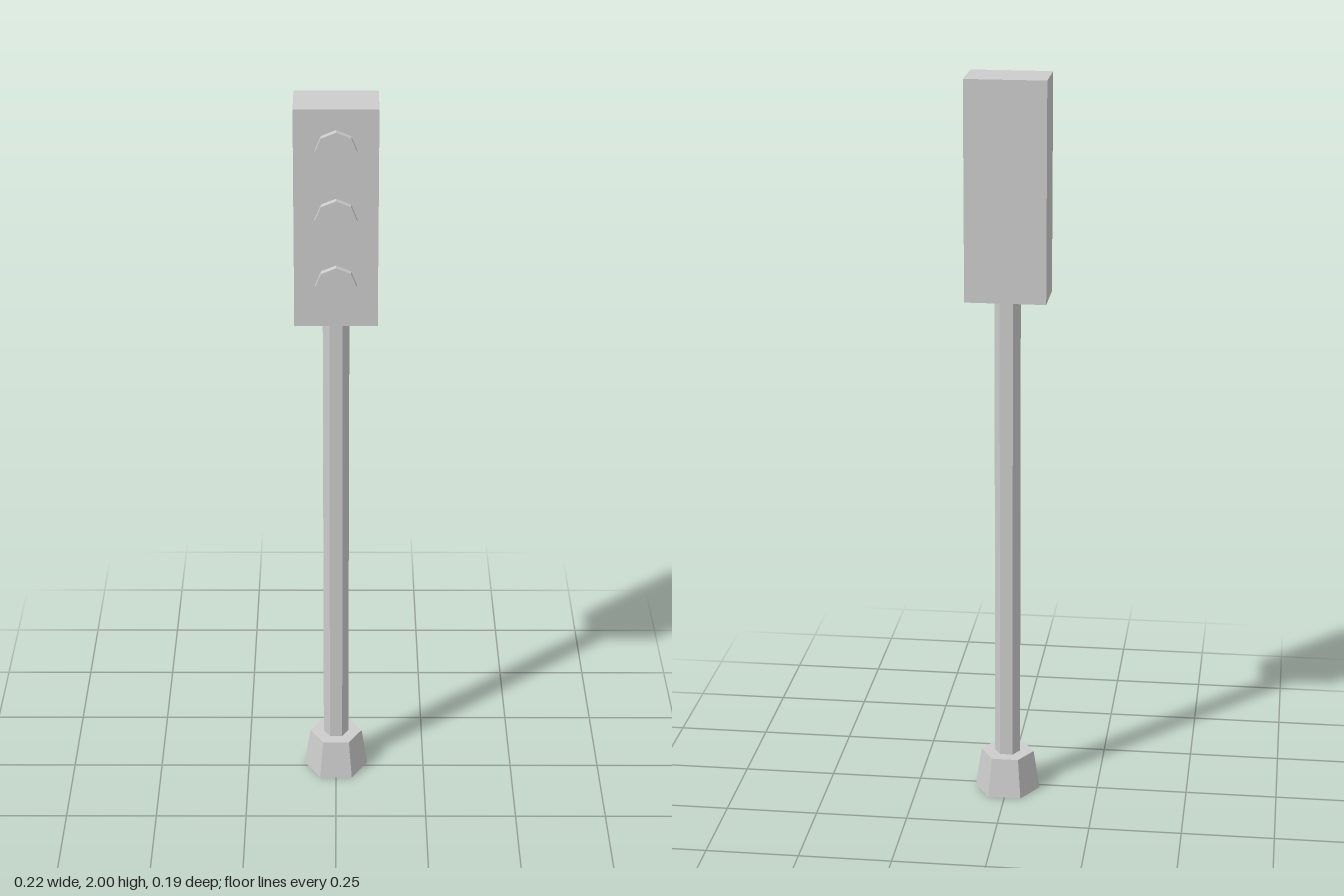
import * as THREE from 'three';

export function createModel() {
  const group = new THREE.Group();
  const grey = new THREE.MeshStandardMaterial({ color: 0xcccccc, flatShading: true });
  grey.name = 'grey';

  const add = (name, geometry, x, y, z) => {
    const mesh = new THREE.Mesh(geometry, grey);
    mesh.name = name;
    mesh.position.set(x, y, z);
    group.add(mesh);
  };

  // Upright hexagonal prism with flat sides towards the front and back
  const hexPrism = (rTop, rBottom, height) =>
    new THREE.CylinderGeometry(rTop, rBottom, height, 6).rotateY(Math.PI / 6);

  const poleZ = -0.016;
  const headBottom = 1.413;
  const headFront = 0.074;

  // Tapered foot and slim pole, set slightly behind centre
  add('base', hexPrism(0.073, 0.09, 0.11), 0, 0.055, poleZ);
  add('pole', hexPrism(0.035, 0.035, headBottom - 0.11), 0, (headBottom + 0.11) / 2, poleZ);

  // Signal housing
  add('housing', new THREE.BoxGeometry(0.216, 2 - headBottom, 0.145), 0, (2 + headBottom) / 2, headFront - 0.0725);

  // Three octagonal lamps
  const lamp = new THREE.CylinderGeometry(0.054, 0.054, 0.019, 8).rotateX(Math.PI / 2);
  [['upperLamp', 1.892], ['middleLamp', 1.71], ['lowerLamp', 1.528]].forEach(([name, y]) =>
    add(name, lamp, 0, y, headFront + 0.0095));

  return group;
}
